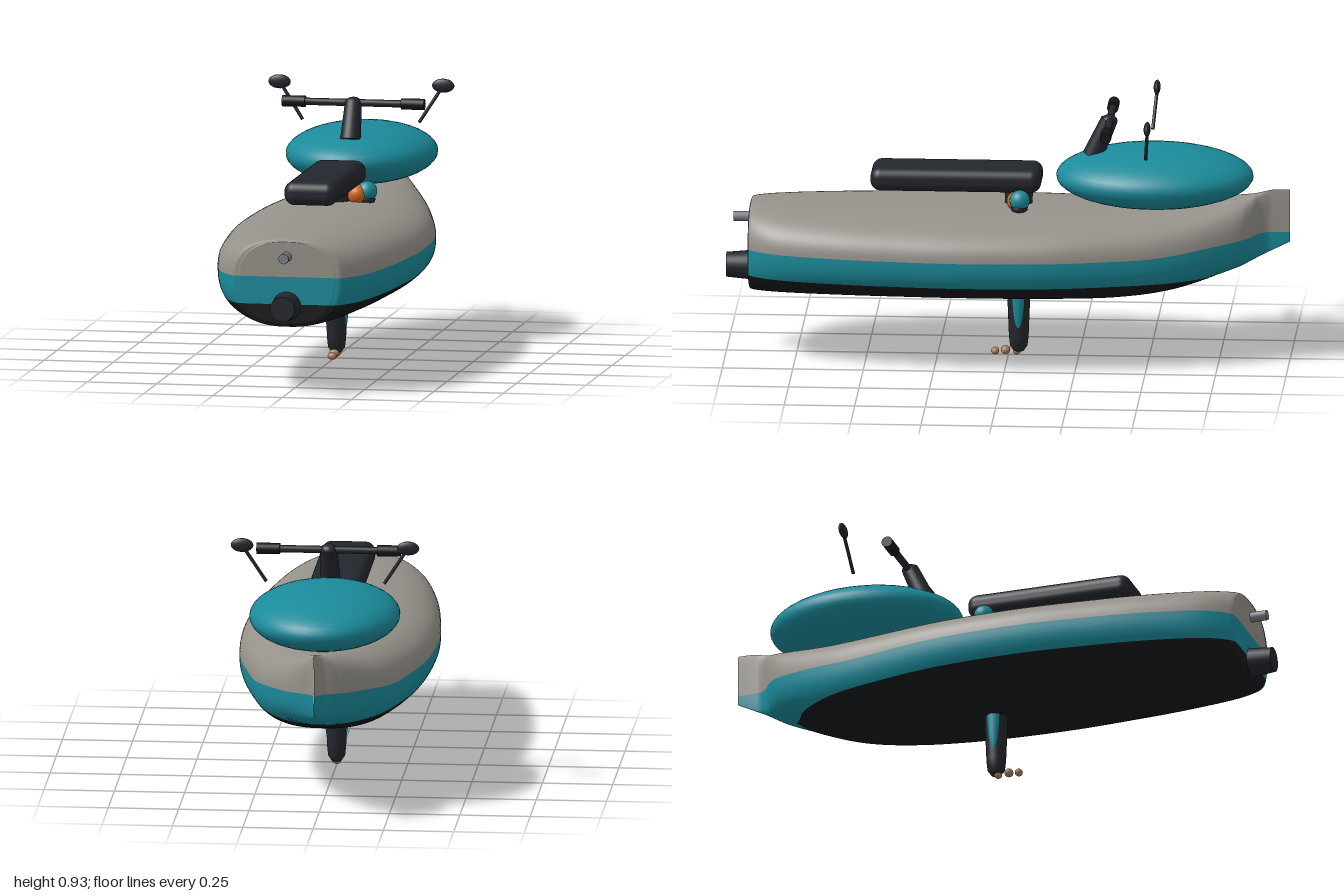
import * as THREE from 'three';
import { RoundedBoxGeometry } from 'three/addons/geometries/RoundedBoxGeometry.js';

const mat = (color) => new THREE.MeshStandardMaterial({ color });
const V = (x, y, z) => new THREE.Vector3(x, y, z);

// Hull stations from stern to bow: z, half width, top, bottom, height of widest point
const STATIONS = [
  [0.915, 0.17, 0.545, 0.25, 0.41], [0.9, 0.205, 0.555, 0.24, 0.41],
  [0.8, 0.262, 0.558, 0.238, 0.41], [0.6, 0.308, 0.56, 0.238, 0.41],
  [0.4, 0.333, 0.56, 0.238, 0.41], [0.15, 0.35, 0.56, 0.238, 0.41],
  [-0.15, 0.335, 0.56, 0.238, 0.41], [-0.4, 0.283, 0.56, 0.242, 0.41],
  [-0.6, 0.225, 0.565, 0.27, 0.415], [-0.8, 0.13, 0.59, 0.335, 0.45],
  [-0.86, 0.075, 0.6, 0.36, 0.47], [-0.89, 0.028, 0.607, 0.375, 0.48],
  [-0.92, 0.007, 0.615, 0.39, 0.49], [-0.95, 0.003, 0.62, 0.405, 0.5],
  [-1, 0.003, 0.62, 0.43, 0.51],
];
const POWER = 2.5; // roundness of the hull section

function smoothStations(steps) {
  const a = new THREE.CatmullRomCurve3(STATIONS.map((s) => V(s[0], s[1], s[2])), false, 'catmullrom');
  const b = new THREE.CatmullRomCurve3(STATIONS.map((s) => V(s[0], s[3], s[4])), false, 'catmullrom');
  return Array.from({ length: steps + 1 }, (_, i) => {
    const p = a.getPoint(i / steps), q = b.getPoint(i / steps);
    return { z: p.x, w: Math.max(p.y, 0.002), top: p.z, bottom: q.y, mid: q.z };
  });
}

function hullPoint(s, angle) {
  const c = Math.cos(angle), n = Math.sin(angle);
  const h = n > 0 ? s.top - s.mid : s.mid - s.bottom;
  return V(s.w * Math.sign(c) * Math.abs(c) ** (2 / POWER),
    s.mid + h * Math.sign(n) * Math.abs(n) ** (2 / POWER), s.z);
}

// Section angle at which the right-hand side reaches height y
function angleAt(s, y) {
  const h = y > s.mid ? s.top - s.mid : s.mid - s.bottom;
  const u = THREE.MathUtils.clamp((y - s.mid) / h, -1, 1);
  return Math.asin(Math.sign(u) * Math.abs(u) ** (POWER / 2));
}

// Points of one section between two angles
function arc(s, range, n) {
  const [from, to] = range(s);
  return Array.from({ length: n + 1 }, (_, j) => hullPoint(s, from + ((to - from) * j) / n));
}

function strip(stations, range, n) {
  const pos = [], index = [];
  stations.forEach((s, i) => {
    arc(s, range, n).forEach((p) => pos.push(p.x, p.y, p.z));
    if (!i) return;
    for (let j = 0; j < n; j++) {
      const a = (i - 1) * (n + 1) + j, c = a + n + 1;
      index.push(a, c, a + 1, a + 1, c, c + 1);
    }
  });
  const g = new THREE.BufferGeometry();
  g.setAttribute('position', new THREE.Float32BufferAttribute(pos, 3));
  g.setIndex(index);
  g.computeVertexNormals();
  return g;
}

export function createModel() {
  const root = new THREE.Group();
  const grey = mat(0x96928b), teal = mat(0x1b8b9b), dark = mat(0x23262d);
  const black = mat(0x15171a), orange = mat(0xd0661c), tan = mat(0xb07f5c), steel = mat(0x7c8088);

  const add = (name, geometry, material, x = 0, y = 0, z = 0, parent = root) => {
    const m = new THREE.Mesh(geometry, material);
    m.name = name;
    m.position.set(x, y, z);
    parent.add(m);
    return m;
  };
  const ball = (name, material, x, y, z, rx, ry = rx, rz = rx) =>
    add(name, new THREE.SphereGeometry(1, 40, 24), material, x, y, z).scale.set(rx, ry, rz);
  const rod = (name, material, a, b, r0, r1 = r0) => {
    const d = b.clone().sub(a);
    const m = add(name, new THREE.CylinderGeometry(r1, r0, d.length(), 24), material);
    m.position.copy(a).addScaledVector(d, 0.5);
    m.quaternion.setFromUnitVectors(V(0, 1, 0), d.normalize());
  };

  // Hull in three colour bands, each closed by its share of the flat stern
  const hull = new THREE.Group();
  hull.name = 'hull';
  root.add(hull);
  const stations = smoothStations(112);
  const hi = (s) => angleAt(s, 0.42 + 0.045 * THREE.MathUtils.smoothstep(-s.z, 0.45, 0.95));
  const lo = (s) => angleAt(s, 0.322);
  const PI = Math.PI;
  const bands = [
    ['deck', grey, 48, [(s) => [hi(s), PI - hi(s)]]],
    ['sideBand', teal, 10, [(s) => [lo(s), hi(s)], (s) => [PI - hi(s), PI - lo(s)]]],
    ['hullBottom', black, 48, [(s) => [PI - lo(s), 2 * PI + lo(s)]]],
  ];
  for (const [name, material, n, ranges] of bands) {
    for (const range of ranges) add(name, strip(stations, range, n), material, 0, 0, 0, hull);
    const outline = ranges.flatMap((range) => arc(stations[0], range, n));
    const shape = new THREE.Shape(outline.map((p) => new THREE.Vector2(p.x, p.y)));
    add(name + 'Stern', new THREE.ShapeGeometry(shape), material, 0, 0, stations[0].z, hull);
  }

  // Stern fittings
  rod('jetNozzle', dark, V(0, 0.315, 0.86), V(0, 0.315, 1), 0.057, 0.044);
  rod('sternPeg', steel, V(0, 0.492, 0.9), V(0, 0.492, 0.975), 0.018);

  // Hood and seat
  ball('hood', teal, 0, 0.665, -0.52, 0.267, 0.106, 0.35);
  add('seat', new RoundedBoxGeometry(0.19, 0.085, 0.605, 6, 0.036), dark, 0, 0.653, 0.183);

  // Steering column, handlebar, grips and mirrors
  rod('steeringColumn', dark, V(0, 0.735, -0.3), V(0, 0.865, -0.358), 0.037, 0.03);
  ball('columnCap', dark, 0, 0.862, -0.357, 0.03, 0.022, 0.03);
  rod('handlebar', dark, V(-0.25, 0.863, -0.36), V(0.25, 0.863, -0.36), 0.013);
  for (const s of [1, -1]) {
    rod('grip', black, V(s * 0.173, 0.863, -0.36), V(s * 0.256, 0.863, -0.36), 0.02);
    rod('mirrorStem', dark, V(s * 0.21, 0.778, -0.5), V(s * 0.285, 0.895, -0.51), 0.006);
    ball('mirror', dark, s * 0.295, 0.91, -0.51, 0.04, 0.025, 0.012);

    // Rounded pads beside the seat
    ball('orangePad', orange, s * 0.076, 0.583, -0.035, 0.036);
    ball('tealPad', teal, s * 0.108, 0.594, -0.047, 0.036);
    ball('padBase', dark, s * 0.1, 0.565, -0.045, 0.038, 0.022, 0.03);
    ball('legStripe', teal, s * 0.028, 0.3, -0.037, 0.019, 0.21, 0.025);
  }

  // Leg below the hull, with its small foot
  const profile = [[0, 0.012], [0.018, 0.016], [0.031, 0.035], [0.035, 0.07], [0.042, 0.25], [0.05, 0.6], [0, 0.62]];
  const leg = new THREE.LatheGeometry(profile.map(([r, y]) => new THREE.Vector2(r, y)), 32);
  add('leg', leg, dark, 0, 0, -0.037).scale.x = 0.97;
  [[0.015, -0.03, 0.014], [0.018, 0.01, 0.016], [0.014, 0.047, 0.014]].forEach(([y, z, r]) =>
    ball('foot', tan, 0, y, z, r * 1.15, r * 0.95, r));

  return root;
}
